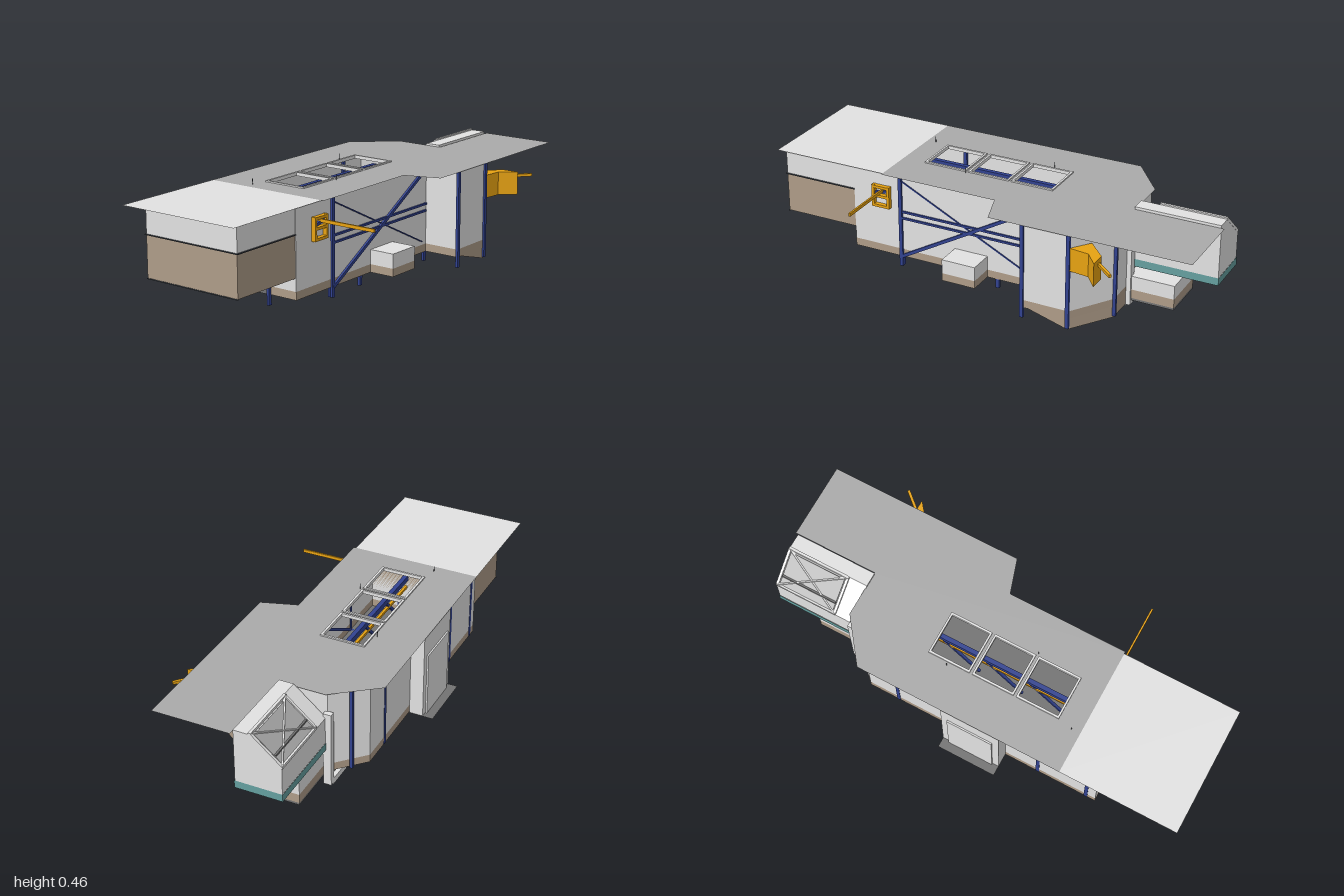
import * as THREE from 'three';

const mat = (name, color) => {
  const m = new THREE.MeshStandardMaterial({ color, side: THREE.DoubleSide });
  m.name = name;
  return m;
};

export function createModel() {
  const root = new THREE.Group();
  root.name = 'station';
  const light = mat('light grey', 0xe2e2e2), roofGrey = mat('roof grey', 0xaaaaaa);
  const dark = mat('dark grey', 0x727272), tan = mat('tan', 0xae9c88);
  const blue = mat('blue steel', 0x314290), yellow = mat('yellow', 0xeba512);
  const teal = mat('teal', 0x659f9f), trim = mat('dark trim', 0x40454c);

  const add = (name, geo, m) => {
    const mesh = new THREE.Mesh(geo, m);
    mesh.name = name;
    root.add(mesh);
    return mesh;
  };
  // box given by its limits on each axis
  const box = (name, m, x0, x1, y0, y1, z0, z1) => {
    const g = new THREE.BoxGeometry(x1 - x0, y1 - y0, z1 - z0);
    g.translate((x0 + x1) / 2, (y0 + y1) / 2, (z0 + z1) / 2);
    return add(name, g, m);
  };
  // square bar between two points
  const bar = (name, m, a, b, w) => {
    const A = new THREE.Vector3(...a), B = new THREE.Vector3(...b);
    const mesh = add(name, new THREE.BoxGeometry(w, w, A.distanceTo(B)), m);
    mesh.position.copy(A).add(B).multiplyScalar(0.5);
    mesh.lookAt(B);
  };
  const shapeOf = pts => new THREE.Shape(pts.map(p => new THREE.Vector2(...p)));
  // flat sheet from an x,z outline
  const sheet = (name, m, pts, y, holes = []) => {
    const s = shapeOf(pts);
    holes.forEach(h => s.holes.push(shapeOf(h)));
    const g = new THREE.ShapeGeometry(s);
    g.rotateX(Math.PI / 2).translate(0, y, 0);
    add(name, g, m);
  };
  // upright wall following a closed x,z outline, clockwise seen from below
  const wall = (name, m, pts, y0, y1) => {
    const pos = [];
    pts.forEach(([x, z], i) => {
      const [u, v] = pts[(i + 1) % pts.length];
      pos.push(x, y0, z, u, y0, v, u, y1, v, x, y0, z, u, y1, v, x, y1, z);
    });
    const g = new THREE.BufferGeometry();
    g.setAttribute('position', new THREE.Float32BufferAttribute(pos, 3));
    g.computeVertexNormals();
    add(name, g, m);
  };
  // solid from an x,y profile running along z
  const alongZ = (name, m, pts, z0, z1) => {
    const g = new THREE.ExtrudeGeometry(shapeOf(pts), { depth: z1 - z0, bevelEnabled: false });
    return add(name, g.translate(0, 0, z0), m);
  };
  const rect = (x0, x1, z0, z1) => [[x0, z1], [x1, z1], [x1, z0], [x0, z0]];

  // main hall: hollow walls, tan skirting, floor
  const plan = [[-0.335, 0.62], [0.165, 0.62], [0.165, -0.27], [0.33, -0.27], [0.33, -0.48],
    [0.15, -0.6], [-0.21, -0.6], [-0.335, -0.47]];
  wall('hallWalls', light, plan, 0.105, 0.447);
  wall('hallSkirting', tan, plan, 0.07, 0.105);
  sheet('hallFloor', dark, plan, 0.07);
  box('frontDarkPanel', dark, -0.235, 0.03, 0.07, 0.157, 0.615, 0.624);

  // deeper skirting under the wing
  const deep = [[0.03, -0.475], [0.33, -0.475], [0.15, -0.6], [0.03, -0.6]];
  wall('wingBase', tan, deep, 0.02, 0.07);
  sheet('wingBaseFloor', tan, deep, 0.02);
  alongZ('wingBaseSide', tan, [[0.3, 0.07], [0.475, 0.02], [0.475, 0.07]], 0.326, 0.33).rotation.y = Math.PI / 2;

  // hull beside it: a box whose underside is narrower and set back
  const hull = box('hull', dark, -0.235, 0.03, 0.042, 0.07, -0.6, -0.4).geometry.toNonIndexed();
  const hp = hull.attributes.position;
  for (let i = 0; i < hp.count; i++) {
    if (hp.getY(i) > 0.05) continue;
    hp.setX(i, hp.getX(i) < -0.1 ? -0.205 : 0);
    if (hp.getZ(i) > -0.5) hp.setZ(i, -0.48);
  }
  hull.computeVertexNormals();
  root.getObjectByName('hull').geometry = hull;

  // front block with dark edge strips
  box('frontBlockLower', tan, -0.305, 0.162, 0.16, 0.34, 0.62, 0.965);
  box('frontBlockUpper', light, -0.305, 0.162, 0.34, 0.446, 0.62, 0.965);
  box('frontBlockTrim', trim, -0.31, 0.168, 0.337, 0.341, 0.62, 0.97);
  box('frontBlockBaseTrim', trim, -0.307, 0.164, 0.157, 0.161, 0.963, 0.968);

  // roof sheets with three framed openings
  const openings = [[-0.235, -0.06], [-0.03, 0.145], [0.175, 0.355]];
  sheet('frontRoof', light, rect(-0.398, 0.178, 0.47, 1), 0.449);
  sheet('mainRoof', roofGrey, [[-0.398, 0.47], [0.188, 0.47], [0.188, -0.07], [0.342, -0.12], [0.342, -1],
    [0, -1], [0, -0.615], [-0.21, -0.615], [-0.398, -0.47]], 0.449,
  openings.map(([a, b]) => rect(-0.195, -0.008, a, b)));
  for (const [a, b] of openings) {
    for (const x of [-0.201, -0.011]) box('openingSideFrame', light, x, x + 0.01, 0.44, 0.455, a - 0.008, b + 0.008);
    for (const z of [a - 0.009, b]) box('openingEndFrame', light, -0.201, -0.001, 0.44, 0.455, z, z + 0.009);
    bar('hallDiagonal', blue, [-0.103, 0.4, a], [-0.103, 0.22, b], 0.012);
  }
  box('hallBeam', blue, -0.113, -0.093, 0.4, 0.425, -0.26, 0.39);
  box('hallRail', yellow, -0.109, -0.097, 0.36, 0.372, -0.26, 0.39);
  box('hallCabinet', tan, -0.2, -0.145, 0.07, 0.2, -0.03, 0.145);
  for (const [x, z] of [[-0.215, 0.43], [-0.215, -0.15], [0.01, 0.16]]) {
    bar('antenna', trim, [x, 0.449, z], [x, 0.474, z], 0.0018);
  }

  // columns (x, z, bottom, top) and short legs
  const low0 = 0.027, eave = 0.447;
  const columns = [[0.168, 0.39, low0, eave], [0.332, -0.27, low0, eave], [0.332, -0.475, low0, eave],
    [0.15, -0.602, low0, eave], [-0.331, -0.33, 0.07, eave], [-0.331, 0.345, 0.07, eave],
    [-0.331, 0.575, 0.07, eave], [-0.285, -0.535, 0.07, eave],
    [-0.235, 0.625, low0, 0.157], [0.03, 0.625, low0, 0.157]];
  for (const z of [0.39, 0.19, -0.07, -0.27]) {
    columns.push([-0.3, z, low0, 0.07], [0.155, z, low0, 0.07]);
  }
  for (const [x, z, y0, y1] of columns) box('column', blue, x - 0.006, x + 0.006, y0, y1, z - 0.008, z + 0.008);
  for (const x of [-0.285, -0.262]) {
    const g = new THREE.CylinderGeometry(0.009, 0.009, 0.02, 12);
    add('drainPipe', g.translate(x, 0.06, 0.5), dark);
  }

  // cross bracing on the right wall
  bar('brace', blue, [0.168, 0.07, 0.39], [0.168, 0.43, -0.24], 0.014);
  bar('thinBrace', blue, [0.167, 0.43, 0.39], [0.167, 0.12, -0.24], 0.005);
  for (const y of [0.255, 0.285]) bar('braceRail', blue, [0.168, y, 0.39], [0.168, y, -0.265], 0.009);

  // side box on the right
  box('sideBoxLower', tan, 0.165, 0.28, 0.07, 0.105, -0.025, 0.13);
  box('sideBoxUpper', light, 0.165, 0.28, 0.105, 0.168, -0.025, 0.13);

  // doorway and sill on the left
  box('doorway', light, -0.395, -0.335, 0.065, 0.447, -0.08, 0.19);
  box('door', light, -0.402, -0.395, 0.063, 0.35, -0.05, 0.16);
  sheet('doorSill', dark, rect(-0.44, -0.335, -0.08, 0.19), 0.063);

  // rear cabin with a glazed slope
  alongZ('cabinBody', light, [[-0.21, 0.22], [-0.005, 0.22], [-0.005, 0.458], [-0.07, 0.458], [-0.21, 0.34]], -0.985, -0.612);
  const cabinPlan = rect(-0.212, -0.003, -0.987, -0.612);
  wall('cabinBand', teal, cabinPlan, 0.188, 0.222);
  sheet('cabinFloor', dark, cabinPlan, 0.19);
  alongZ('cabinGlass', roofGrey, [[-0.202, 0.35], [-0.085, 0.449], [-0.088, 0.453], [-0.205, 0.354]], -0.97, -0.71);
  bar('glassStripe', dark, [-0.172, 0.378, -0.97], [-0.172, 0.378, -0.71], 0.012);
  const low = z => [-0.207, 0.346, z], high = z => [-0.075, 0.458, z];
  for (const z of [-0.98, -0.7]) bar('glassFrame', light, low(z), high(z), 0.012);
  for (const p of [low, high]) bar('glassFrame', light, p(-0.985), p(-0.695), 0.012);
  bar('glassBrace', light, low(-0.98), high(-0.7), 0.012);
  bar('glassBrace', light, low(-0.7), high(-0.98), 0.012);

  // rear lower box and posts
  box('rearBoxBase', dark, -0.19, 0.02, 0.04, 0.05, -0.81, -0.6);
  box('rearBoxBand', tan, -0.19, 0.02, 0.05, 0.09, -0.81, -0.6);
  box('rearBoxTop', light, -0.19, 0.02, 0.09, 0.152, -0.81, -0.6);
  for (const x of [-0.235, -0.005]) {
    box('rearPost', light, x, x + 0.035, 0.02, 0.36, -0.62, -0.595);
    box('rearPostFoot', light, x, x + 0.035, 0.012, 0.04, -0.6, -0.48);
  }

  // yellow front window frame with arm and blue fitting
  for (const y of [0.29, 0.335, 0.377]) box('yellowFrame', yellow, 0.165, 0.185, y, y + 0.012, 0.437, 0.522);
  for (const z of [0.437, 0.51]) box('yellowFrame', yellow, 0.165, 0.185, 0.29, 0.39, z, z + 0.012);
  bar('frameFitting', blue, [0.17, 0.352, 0.51], [0.17, 0.366, 0.45], 0.012);
  box('yellowArm', yellow, 0.165, 0.44, 0.361, 0.375, 0.47, 0.478);

  // yellow rear wedge with arm
  const wedge = [[0.332, -0.48], [0.342, -0.567], [0.408, -0.62], [0.335, -0.62], [0.25, -0.54]];
  wall('yellowWedge', yellow, wedge, 0.29, 0.392);
  for (const y of [0.29, 0.392]) sheet('yellowWedgeCap', yellow, wedge, y);
  bar('yellowRearArm', yellow, [0.36, 0.368, -0.62], [0.43, 0.368, -0.7], 0.012);

  return root;
}
